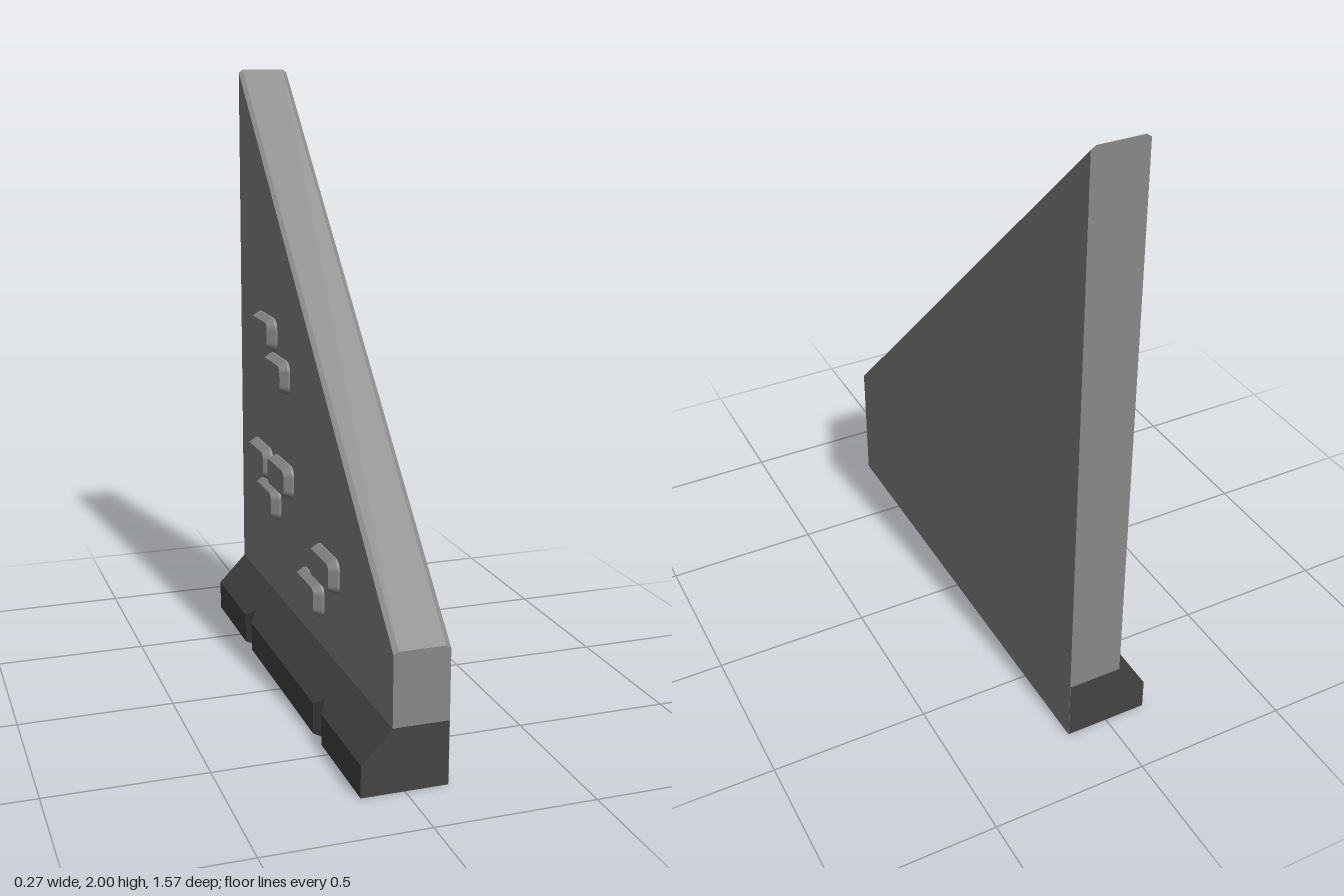
import * as THREE from 'three';

const wallMat = new THREE.MeshStandardMaterial({ color: 0x888888 });
const baseMat = new THREE.MeshStandardMaterial({ color: 0x444444 });

// Joins counter-clockwise xy profiles placed along z (back to front) into a flat-faced solid.
function loft(sections) {
  const pos = [];
  const n = sections[0].pts.length;
  const at = (s, i) => [...s.pts[i % n], s.z];
  const tri = (a, b, c) => pos.push(...a, ...b, ...c);
  for (let k = 0; k < sections.length - 1; k++) {
    const s = sections[k], t = sections[k + 1];
    for (let i = 0; i < n; i++) {
      tri(at(s, i), at(s, i + 1), at(t, i + 1));
      tri(at(s, i), at(t, i + 1), at(t, i));
    }
  }
  const back = sections[0], front = sections[sections.length - 1];
  for (let i = 1; i < n - 1; i++) {
    tri(at(front, 0), at(front, i), at(front, i + 1));
    tri(at(back, 0), at(back, i + 1), at(back, i));
  }
  const g = new THREE.BufferGeometry();
  g.setAttribute('position', new THREE.Float32BufferAttribute(pos, 3));
  g.computeVertexNormals();
  return g;
}

// Wall profile: chamfered top edges, and a thin skin down the flat side to the ground.
const wallProfile = (top) => [
  [0.134, 0.2], [0.134, 0], [0.135, 0], [0.135, top - 0.01],
  [0.12, top], [-0.025, top], [-0.04, top - 0.01], [-0.04, 0.2],
];

// Footing profile: sloped shoulder, cut back by the depth of a notch.
const baseProfile = (cut) => [
  [0.134, 0], [0.134, 0.2], [-0.04, 0.2],
  [-0.135 + cut, 0.1 + cut * 0.1 / 0.095], [-0.135 + cut, 0],
];

// Raised brick with rounded corners and tapered sides, protruding toward -x.
function brickGeometry(length, height) {
  const bevel = 0.015, r = 0.02;
  const a = length / 2 - bevel, b = height / 2 - bevel;
  const s = new THREE.Shape();
  s.absarc(a - r, b - r, r, 0, Math.PI / 2);
  s.absarc(-a + r, b - r, r, Math.PI / 2, Math.PI);
  s.absarc(-a + r, -b + r, r, Math.PI, Math.PI * 1.5);
  s.absarc(a - r, -b + r, r, Math.PI * 1.5, Math.PI * 2);
  const g = new THREE.ExtrudeGeometry(s, {
    depth: 0.01, bevelSize: bevel, bevelThickness: 0.025, bevelSegments: 1, curveSegments: 4,
  });
  return g.rotateY(-Math.PI / 2);
}

export function createModel() {
  const model = new THREE.Group();
  model.name = 'slopedWall';
  const add = (geometry, material, name) => {
    const mesh = new THREE.Mesh(geometry, material);
    mesh.name = name;
    model.add(mesh);
    return mesh;
  };

  // Wall slab, tall at the back and low at the front
  add(loft([
    { z: -0.785, pts: wallProfile(2) },
    { z: 0.785, pts: wallProfile(0.43) },
  ]), wallMat, 'wall');

  // Footing with two vertical V notches
  const stations = [[-0.785, 0], [-0.43, 0], [-0.39, 0.025], [-0.35, 0],
    [0.35, 0], [0.39, 0.025], [0.43, 0], [0.785, 0]];
  add(loft(stations.map(([z, cut]) => ({ z, pts: baseProfile(cut) }))), baseMat, 'footing');

  // Scattered raised bricks: centre z, centre y
  const brick = brickGeometry(0.22, 0.115);
  [[-0.44, 1.125], [-0.295, 1.005], [-0.255, 0.655], [-0.5, 0.655],
    [-0.405, 0.535], [0.215, 0.485], [0.065, 0.355]].forEach(([z, y]) => {
    add(brick, wallMat, 'brick').position.set(-0.038, y, z);
  });

  return model;
}
